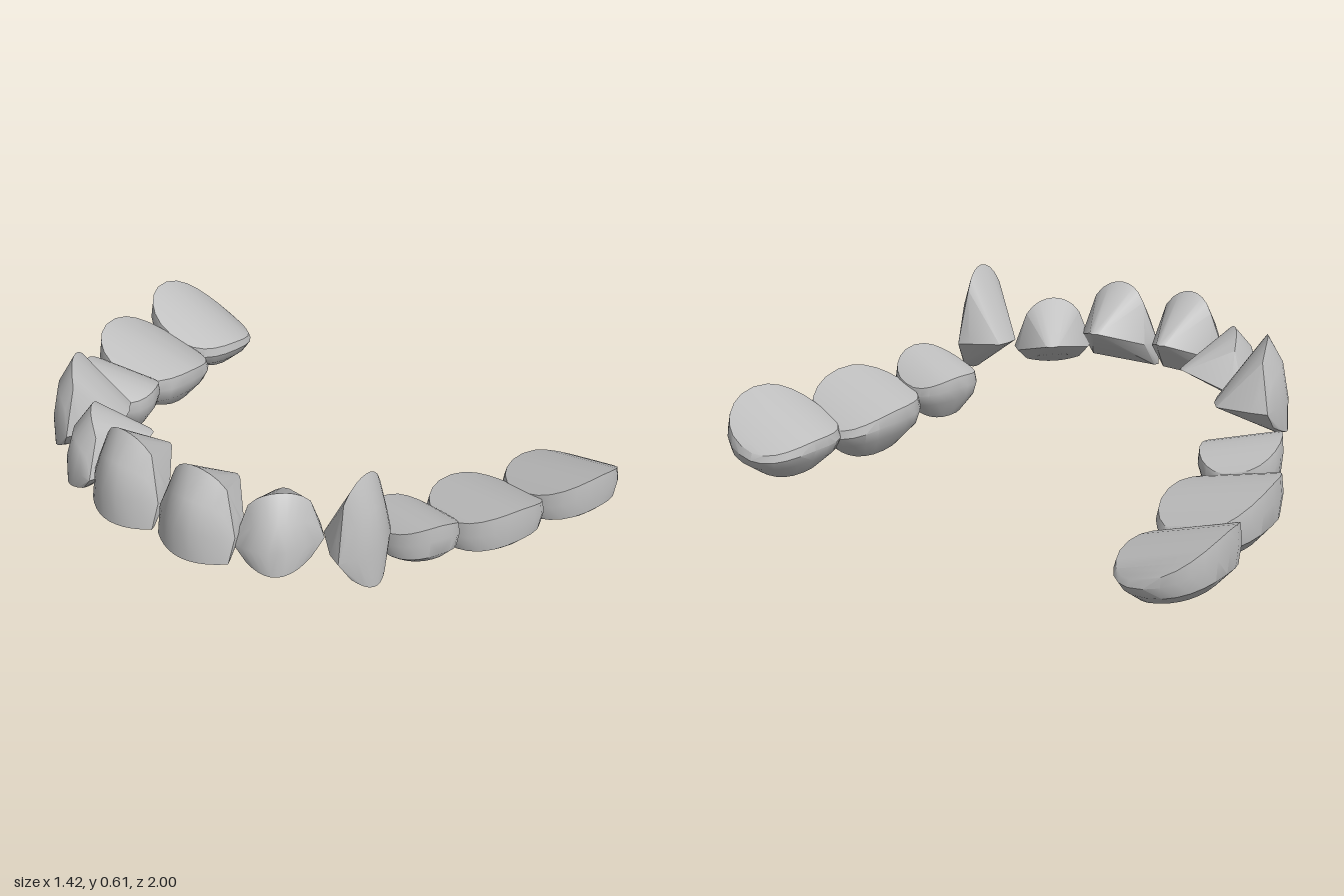
import * as THREE from 'three';
import { ConvexGeometry } from 'three/addons/geometries/ConvexGeometry.js';
import { toCreasedNormals } from 'three/addons/utils/BufferGeometryUtils.js';

const enamel = new THREE.MeshStandardMaterial({ color: 0xc0c0c0 });
enamel.name = 'enamel grey';

// Local crown space: x = along the arch (towards the back teeth), y = height 0..1, z = outward
const P = (x, y, z) => new THREE.Vector3(x, y, z);

// Broad back tooth: gum ring, fullest ring, lower face and a biting ring that dips inward
function molarPoints({ inner, tilt }) {
  const pts = [];
  const n = 24;
  const soft = (t) => Math.sign(t) * Math.abs(t) ** 0.86;
  for (let i = 0; i < n; i++) {
    const a = (i / n) * Math.PI * 2;
    const c = soft(Math.cos(a)), s = soft(Math.sin(a));
    const gum = inner + (1 - inner) * (s + 1) / 2 - 0.22 * c * c - tilt * c;
    pts.push(P(0.95 * c, gum, 0.97 * s));
    pts.push(P(c, gum * 0.75, s));
    pts.push(P(0.93 * c, gum * 0.45, 0.93 * s + 0.03));
    pts.push(P(0.66 * c, 0.13 + 0.13 * s - tilt * c * 0.6, 0.66 * s + 0.08));
  }
  return pts;
}

// Front tooth: arched outer face, thin biting edge and an inner heel
function incisorPoints({ heel, point, heelWidth }) {
  const pts = [];
  const n = 10;
  for (let i = 0; i <= n; i++) {
    const s = -1 + (2 * i) / n, q = s * s;
    const arch = Math.sqrt(1 - q * 0.99);
    const edge = (0.94 - point * 0.55) * s, lift = point * 0.25 * q;
    pts.push(P(0.85 * s, 0.4 + 0.6 * arch ** 0.8, 0.36 - 0.2 * q));  // gum line
    pts.push(P(0.94 * s, 0.32 + 0.4 * arch, 0.78 - 0.5 * q));       // upper face
    pts.push(P(s, 0.3 + 0.05 * arch, 0.96 - 0.55 * q));             // lower face
    pts.push(P(edge, lift, 0.98 - 0.4 * q));                        // biting edge, outside
    pts.push(P(edge * 0.95, lift, 0.7 - 0.25 * q));                 // biting edge, inside
    pts.push(P(0.9 * s, 0.32, 0.25 - 0.3 * q));                     // inner flank
  }
  for (const t of [-1, 0, 1]) pts.push(P(t * heelWidth, heel, -1 + Math.abs(t) * 0.06));
  return pts;
}

// Turn the crown outward along the arch, then fit it to its box
function makeTooth({ name, points, out, box }) {
  const o = new THREE.Vector2(...out).normalize();
  const side = Math.sign((box[4] + box[5]) / 2);
  const turned = points.map((p) => P(
    side * o.y * p.x + o.x * p.z, p.y, -side * o.x * p.x + o.y * p.z));
  const from = new THREE.Box3().setFromPoints(turned);
  const size = from.getSize(P(0, 0, 0));
  const lo = P(box[0], box[2], box[4]);
  const span = P(box[1], box[3], box[5]).sub(lo);
  turned.forEach((p) => p.sub(from.min).divide(size).multiply(span).add(lo));
  const mesh = new THREE.Mesh(toCreasedNormals(new ConvexGeometry(turned), 0.6), enamel);
  mesh.name = name;
  return mesh;
}

export function createModel() {
  const group = new THREE.Group();
  group.name = 'dental arch';

  // box: x min, x max, y min, y max, z min, z max
  const molars = [
    ['leftSecondMolar', [-0.2, 1], [0.3, 0.685, 0.045, 0.29, 0.63, 1], 0.55, 0.08],
    ['leftFirstMolar', [-0.25, 1], [-0.02, 0.385, 0.05, 0.295, 0.53, 0.895], 0.7, 0.14],
    ['leftPremolar', [-0.35, 1], [-0.235, 0.03, 0.12, 0.335, 0.47, 0.77], 0.75, 0.08],
    ['rightPremolar', [-0.4, -1], [-0.2, 0.06, 0.09, 0.315, -0.82, -0.53], 0.72, 0.08],
    ['rightFirstMolar', [-0.05, -1], [0.01, 0.4, 0.015, 0.285, -0.95, -0.575], 0.65, 0.14],
    ['rightSecondMolar', [0.05, -1], [0.36, 0.71, 0, 0.26, -1, -0.63], 0.5, 0.12],
  ];
  for (const [name, out, box, inner, tilt] of molars) {
    group.add(makeTooth({ name, out, box, points: molarPoints({ inner, tilt }) }));
  }

  const incisors = [
    ['leftCanine', [-0.1, 1], [-0.5, -0.25, 0.21, 0.61, 0.48, 0.68], 0.32, 0.5, 0.35],
    ['leftLateralIncisor', [-0.75, 0.62], [-0.605, -0.32, 0.235, 0.495, 0.25, 0.485], 0.5, 0.4, 0.15],
    ['leftCentralIncisor', [-1, 0.05], [-0.71, -0.41, 0.265, 0.565, 0.005, 0.3], 0.5, 0, 0.12],
    ['rightCentralIncisor', [-1, -0.05], [-0.71, -0.42, 0.265, 0.575, -0.285, 0], 0.5, 0, 0.12],
    ['rightLateralIncisor', [-0.72, -0.68], [-0.645, -0.35, 0.24, 0.505, -0.48, -0.25], 0.5, 0.4, 0.15],
    ['rightCanine', [-0.58, -0.82], [-0.505, -0.22, 0.21, 0.55, -0.67, -0.435], 0.32, 0.5, 0.4],
  ];
  for (const [name, out, box, heel, point, heelWidth] of incisors) {
    group.add(makeTooth({ name, out, box, points: incisorPoints({ heel, point, heelWidth }) }));
  }
  return group;
}
